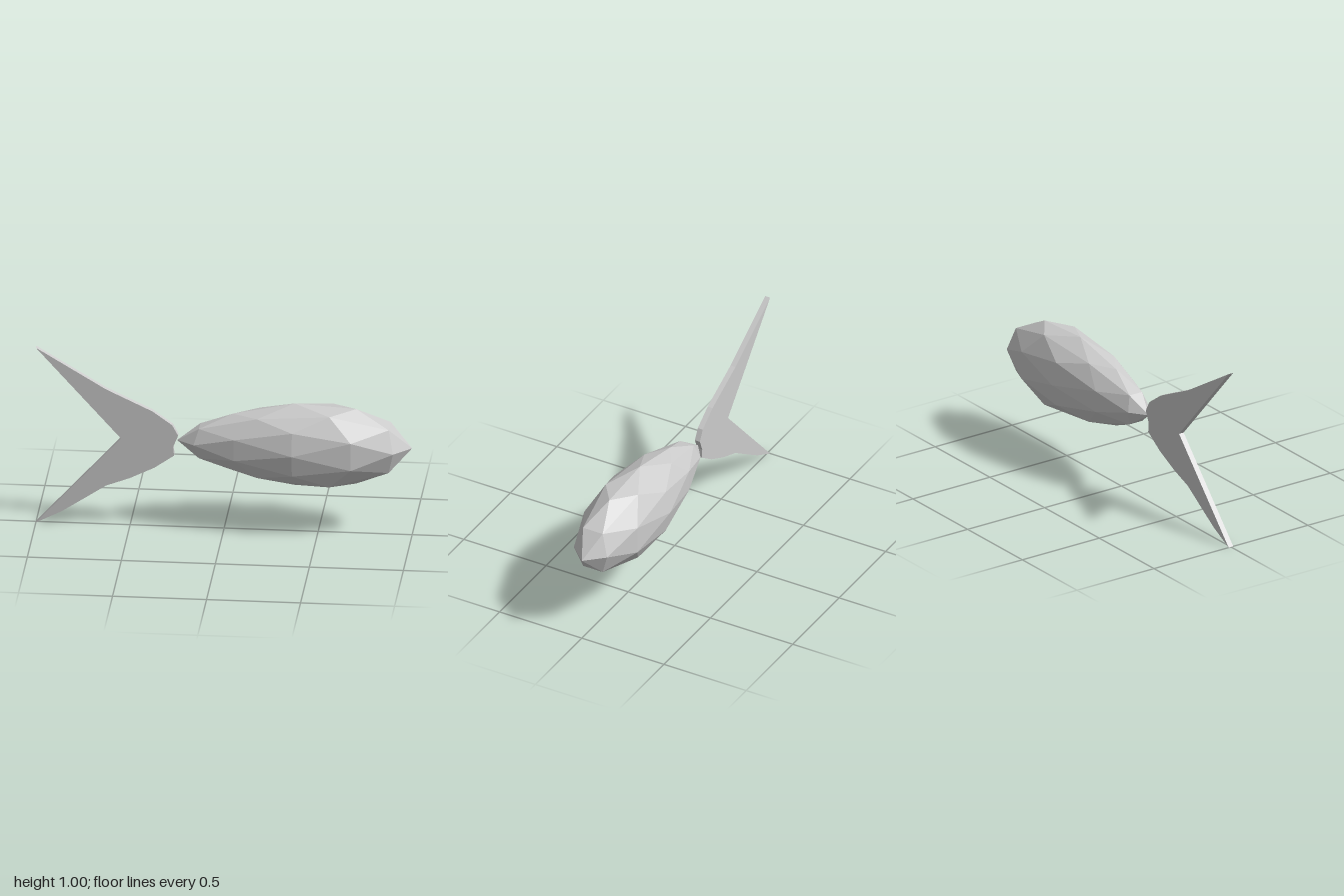
import * as THREE from 'three';

const material = new THREE.MeshStandardMaterial({ color: 0xcccccc, flatShading: true });

// Faceted body: an icosphere stretched along x and tapered towards the tail
function makeBody() {
  const geometry = new THREE.IcosahedronGeometry(1, 1);
  const p = geometry.attributes.position;
  for (let i = 0; i < p.count; i++) {
    const x = p.getX(i);
    const girth = x < 0 ? 1 + 0.35 * x : 1 + 0.3 * x * (1 - x);
    p.setXYZ(i, 0.375 + 0.625 * x, 0.495 + 0.233 * girth * p.getY(i), 0.185 * girth * p.getZ(i));
  }
  geometry.computeVertexNormals();
  const mesh = new THREE.Mesh(geometry, material);
  mesh.name = 'body';
  return mesh;
}

// Forked tail fin: a thin flat plate
function makeTailFin() {
  const outline = [
    [-1, 1], [-0.547, 0.497], [-1, 0], [-0.865, 0.068], [-0.755, 0.14], [-0.627, 0.225],
    [-0.5, 0.273], [-0.37, 0.337], [-0.265, 0.41], [-0.27, 0.46], [-0.243, 0.525],
    [-0.275, 0.584], [-0.38, 0.659], [-0.627, 0.776],
  ];
  const thickness = 0.03;
  const shape = new THREE.Shape(outline.map(([x, y]) => new THREE.Vector2(x, y)));
  const geometry = new THREE.ExtrudeGeometry(shape, { depth: thickness, bevelEnabled: false });
  geometry.translate(0, 0, -thickness / 2);
  const mesh = new THREE.Mesh(geometry, material);
  mesh.name = 'tailFin';
  return mesh;
}

export function createModel() {
  const group = new THREE.Group();
  group.name = 'fish';
  group.add(makeBody(), makeTailFin());
  return group;
}
